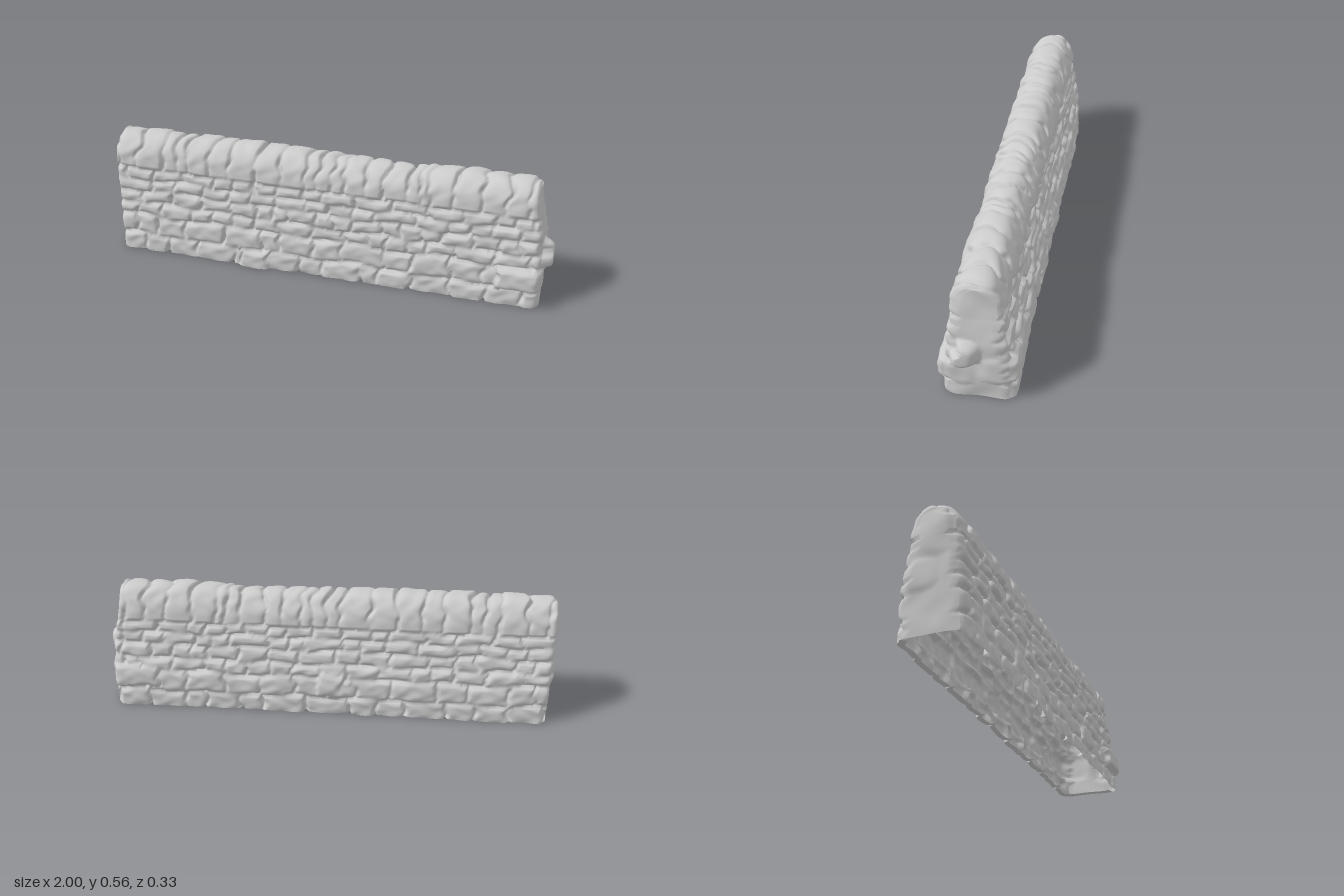
import * as THREE from 'three';

// seeded random and a cheap smooth noise
let seed = 7;
const rand = () => (seed = (seed * 16807) % 2147483647) / 2147483647;
const noise = (x, y) => (Math.sin(x * 1.3 + 2.1 * Math.sin(y * 1.1)) + Math.sin(y * 1.7 + 1.8 * Math.sin(x * 0.9 + 2))) / 2;
const smooth = THREE.MathUtils.smoothstep;
const lerp = THREE.MathUtils.lerp;

// wall cross-section (z, y), front foot over the top to the back foot
const profile = new THREE.CatmullRomCurve3([
  [0.127, 0], [0.125, 0.1], [0.117, 0.2], [0.112, 0.3], [0.106, 0.4], [0.09, 0.49], [0.052, 0.531], [0, 0.544],
  [-0.045, 0.533], [-0.08, 0.48], [-0.096, 0.4], [-0.109, 0.3], [-0.126, 0.2], [-0.137, 0.1], [-0.138, 0],
].map(([z, y]) => new THREE.Vector3(0, y, z)));
profile.arcLengthDivisions = 600;

const CAP_Y = 0.41;
const COURSES = [-0.02, 0.08, 0.175, 0.235, 0.3, 0.355, CAP_Y];

// one row of stones of varied width
function row(y0, y1, minW, maxW, spread) {
  const stones = [];
  for (let x = -1.05 - rand() * 0.1; x < 1.1;) {
    const w = lerp(minW, maxW, rand());
    stones.push({ x0: x, x1: x + w, y0, y1, out: rand() * spread });
    x += w;
  }
  return stones;
}

function face(extra) {
  const stones = [...extra];
  for (let i = 0; i < COURSES.length - 1; i++) {
    const big = i < 2 ? 1.2 : 1;
    stones.push(...row(COURSES[i], COURSES[i + 1], 0.07 * big, 0.17 * big, 0.011));
  }
  return stones;
}

// height of the pillow-shaped stone at a point, sunk unevenly at its joints
function stoneHeight(stones, x, y) {
  const wx = x + 0.011 * noise(x * 17, y * 40);
  const wy = y + 0.01 * noise(x * 14 + 5, y * 12);
  const s = stones.find((q) => wx >= q.x0 && wx < q.x1 && wy >= q.y0 && wy < q.y1);
  if (!s) return 0;
  const d = Math.min(wx - s.x0, s.x1 - wx, wy - s.y0, s.y1 - wy);
  const groove = 0.004 + 0.022 * smooth(noise(x * 23 + 3, y * 31), -0.7, 0.8);
  return s.out + 0.004 * smooth(d, 0, 0.035) - groove * (1 - smooth(d, 0, 0.014))
    + 0.003 * noise(x * 45, y * 55);
}

// grid surface from a function of (u, v)
function surface(name, nu, nv, fn, material) {
  const pos = [], index = [];
  for (let j = 0; j <= nv; j++) {
    for (let i = 0; i <= nu; i++) {
      pos.push(...fn(i / nu, j / nv));
      if (i < nu && j < nv) {
        const a = j * (nu + 1) + i, b = a + nu + 1;
        index.push(a, a + 1, b + 1, a, b + 1, b);
      }
    }
  }
  const geo = new THREE.BufferGeometry();
  geo.setAttribute('position', new THREE.Float32BufferAttribute(pos, 3));
  geo.setIndex(index);
  geo.computeVertexNormals();
  const mesh = new THREE.Mesh(geo, material);
  mesh.name = name;
  return mesh;
}

export function createModel() {
  seed = 7;
  const group = new THREE.Group();
  group.name = 'dryStoneWall';
  const material = new THREE.MeshStandardMaterial({ color: 0xcccccc, side: THREE.DoubleSide });

  // stones that stick out, then the regular courses
  const front = face([
    { x0: 0.77, x1: 1.1, y0: 0.08, y1: 0.18, out: 0.036 },
    { x0: -0.39, x1: -0.25, y0: -0.02, y1: 0.085, out: 0.024 },
  ]);
  const back = face([
    { x0: -0.08, x1: 0.04, y0: 0.1, y1: 0.2, out: 0.026 },
    { x0: 0.75, x1: 0.95, y0: 0.1, y1: 0.2, out: 0.024 },
  ]);
  const coping = row(CAP_Y, 2, 0.035, 0.125, 0.014);

  const NU = 310, NV = 132;
  const section = [];
  for (let j = 0; j <= NV; j++) {
    const p = profile.getPointAt(j / NV), t = profile.getTangentAt(j / NV);
    section.push({ y: p.y, z: p.z, ny: -t.z, nz: t.y });
  }
  const leftX = (y) => -0.975 - 0.025 * y;
  const rightX = (y) => 0.95 - 0.035 * smooth(y, 0.25, 0.52);

  // wall skin: both faces and the coping in one sheet
  const skin = (u, v) => {
    const j = Math.round(v * NV), s = section[j];
    const x = lerp(leftX(s.y), rightX(s.y), u);
    let h;
    if (s.y > CAP_Y) {
      // coping stones stand on edge, lean a little and sag past the middle
      h = 0.85 * stoneHeight(coping, x + 0.12 * s.z + 0.012 * noise(x * 9, s.z * 25), Math.max(s.y, CAP_Y + 0.03));
      h -= 0.012 * Math.exp(-(((x - 0.2) / 0.28) ** 2)) * smooth(s.y, 0.45, 0.53);
    } else {
      h = stoneHeight(v < 0.5 ? front : back, x, s.y);
    }
    // rounded vertical corners at both ends
    const R = 0.03;
    const e = Math.max(0, 1 - Math.min(u, 1 - u) * 1.93 / R);
    h -= 0.02 * (1 - Math.sqrt(1 - e * e));
    const y = j === 0 || j === NV ? 0 : Math.max(0, s.y + s.ny * h);
    return [x, y, s.z + s.nz * h];
  };
  group.add(surface('wallSkin', NU, NV, skin, material));

  // end walls span the skin's open edges, with soft bulging stones
  const ends = [
    { name: 'leftEnd', u: 1, dir: 1, bumps: [[0.055, 0.235, 0.07, 0.062, 0.042], [-0.08, 0.15, 0.07, 0.07, 0.008], [0.07, 0.12, 0.06, 0.06, 0.008]] },
    { name: 'rightEnd', u: 0, dir: -1, bumps: [[0.02, 0.42, 0.09, 0.1, 0.006], [-0.05, 0.25, 0.08, 0.07, 0.006]] },
  ];
  const endWall = ({ u: edge, dir, bumps }) => (u, v) => {
    const t = dir > 0 ? u : 1 - u;
    const a = skin(edge, v / 2), b = skin(edge, 1 - v / 2);
    const p = a.map((c, k) => lerp(c, b[k], t));
    const rim = Math.min(t, 1 - t) * Math.abs(a[2] - b[2]);
    let out = 0.005 + 0.004 * noise(p[2] * 22 + edge * 4, p[1] * 18);
    for (const [z, y, rz, ry, h] of bumps) {
      const q = ((p[2] - z) / rz) ** 2 + ((p[1] - y) / ry) ** 4;
      out += h * (1 - smooth(q, 0.1, 1.2));
    }
    p[0] += dir * out * Math.sqrt(smooth(rim, 0, 0.03));
    return p;
  };
  for (const end of ends) group.add(surface(end.name, 36, NV / 2, endWall(end), material));

  // narrow lip turned inward under the back and the left end
  const LIP = 0.022;
  group.add(surface('backLip', NU, 2, (u, v) => {
    const [x, y, z] = skin(u, 1);
    return [x * (1 - 0.02 * v), y + 0.004 * v, z + LIP * v];
  }, material));
  const leftFoot = endWall(ends[0]);
  group.add(surface('leftLip', 36, 2, (u, v) => {
    const [x, y, z] = leftFoot(u, 0);
    return [x - LIP * v, y + 0.004 * v, z * (1 - 0.15 * v)];
  }, material));
  return group;
}
